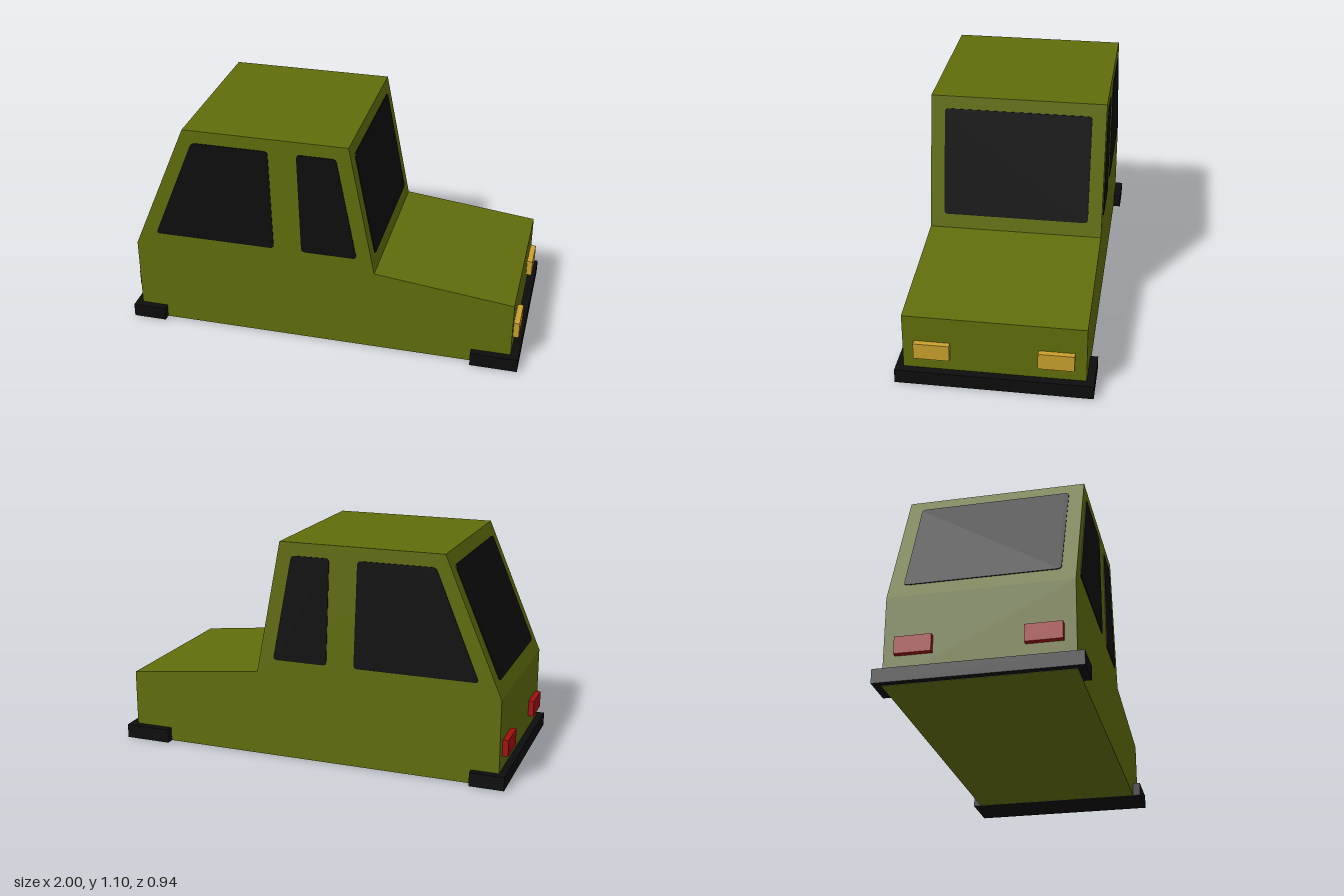
import * as THREE from 'three';

const material = (name, color) => new THREE.MeshStandardMaterial({ name, color });

// Closed polygon with slightly rounded corners
function roundedShape(points, r) {
  const p = points.map(([x, y]) => new THREE.Vector2(x, y));
  const shape = new THREE.Shape();
  p.forEach((c, i) => {
    const toward = (q) => q.clone().sub(c).setLength(r).add(c);
    const a = toward(p[(i + p.length - 1) % p.length]);
    const b = toward(p[(i + 1) % p.length]);
    if (i === 0) shape.moveTo(a.x, a.y);
    else shape.lineTo(a.x, a.y);
    shape.quadraticCurveTo(c.x, c.y, b.x, b.y);
  });
  shape.closePath();
  return shape;
}

export function createModel() {
  const paint = material('olive paint', 0x616d0c);
  const black = material('black trim and glass', 0x0d0d0d);
  const amber = material('amber lamp', 0xc9a02e);
  const red = material('red lamp', 0xa01010);

  const car = new THREE.Group();
  car.name = 'car';
  const add = (name, geometry, mat, x = 0, y = 0, z = 0) => {
    const mesh = new THREE.Mesh(geometry, mat);
    mesh.name = name;
    mesh.position.set(x, y, z);
    car.add(mesh);
    return mesh;
  };
  const box = (name, mat, [x0, x1], [y0, y1], [z0, z1]) =>
    add(name, new THREE.BoxGeometry(x1 - x0, y1 - y0, z1 - z0), mat,
      (x0 + x1) / 2, (y0 + y1) / 2, (z0 + z1) / 2);

  // Body: side profile extruded across the width, nose toward +x
  const halfWidth = 0.432;
  const profile = [[-0.965, 0.001], [0.96, 0.001], [0.96, 0.353], [0.27, 0.432],
    [0.14, 1.1], [-0.68, 1.1], [-0.965, 0.432]];
  const bodyShape = new THREE.Shape(profile.map(([x, y]) => new THREE.Vector2(x, y)));
  add('body', new THREE.ExtrudeGeometry(bodyShape, { depth: 2 * halfWidth, bevelEnabled: false }),
    paint, 0, 0, -halfWidth);

  // Side windows, a thin plate on each flank
  const glass = { depth: 0.005, bevelEnabled: false, curveSegments: 4 };
  const sideWindows = {
    rearSideWindow: [[-0.855, 0.505], [-0.238, 0.505], [-0.255, 1.035], [-0.637, 1.035]],
    frontSideWindow: [[-0.097, 0.505], [0.182, 0.505], [0.08, 1.035], [-0.114, 1.035]],
  };
  for (const [name, points] of Object.entries(sideWindows)) {
    const geometry = new THREE.ExtrudeGeometry(roundedShape(points, 0.02), glass);
    add(name + 'Left', geometry, black, 0, 0, halfWidth - 0.001);
    add(name + 'Right', geometry, black, 0, 0, -halfWidth - 0.004);
  }

  // Windscreen and rear window, laid on the sloping faces
  const slopedWindow = (name, bottom, top, facing) => {
    const low = new THREE.Vector3(bottom[0], bottom[1], 0);
    const up = new THREE.Vector3(top[0], top[1], 0).sub(low);
    const slope = up.length() / up.y;
    up.normalize();
    const across = new THREE.Vector3(0, 0, -facing);
    const normal = across.clone().cross(up);
    const v0 = (0.503 - low.y) * slope, v1 = (1.038 - low.y) * slope;
    const shape = roundedShape([[-0.363, v0], [0.363, v0], [0.363, v1], [-0.363, v1]], 0.02);
    const geometry = new THREE.ExtrudeGeometry(shape, glass);
    geometry.applyMatrix4(new THREE.Matrix4().makeBasis(across, up, normal)
      .setPosition(low.addScaledVector(normal, -0.001)));
    add(name, geometry, black);
  };
  slopedWindow('windscreen', profile[3], profile[4], 1);
  slopedWindow('rearWindow', profile[6], profile[5], -1);

  // Bumpers wrapping the lower corners
  box('frontBumper', black, [0.765, 1], [0, 0.07], [-0.47, 0.47]);
  box('rearBumper', black, [-1, -0.83], [0.002, 0.07], [-0.47, 0.47]);

  // Lamps
  for (const [side, z] of [['Left', -0.292], ['Right', 0.292]]) {
    const span = [z - 0.085, z + 0.085];
    box('headlamp' + side, amber, [0.93, 0.988], [0.138, 0.22], span);
    box('tailLamp' + side, red, [-0.993, -0.93], [0.138, 0.22], span);
  }
  return car;
}
